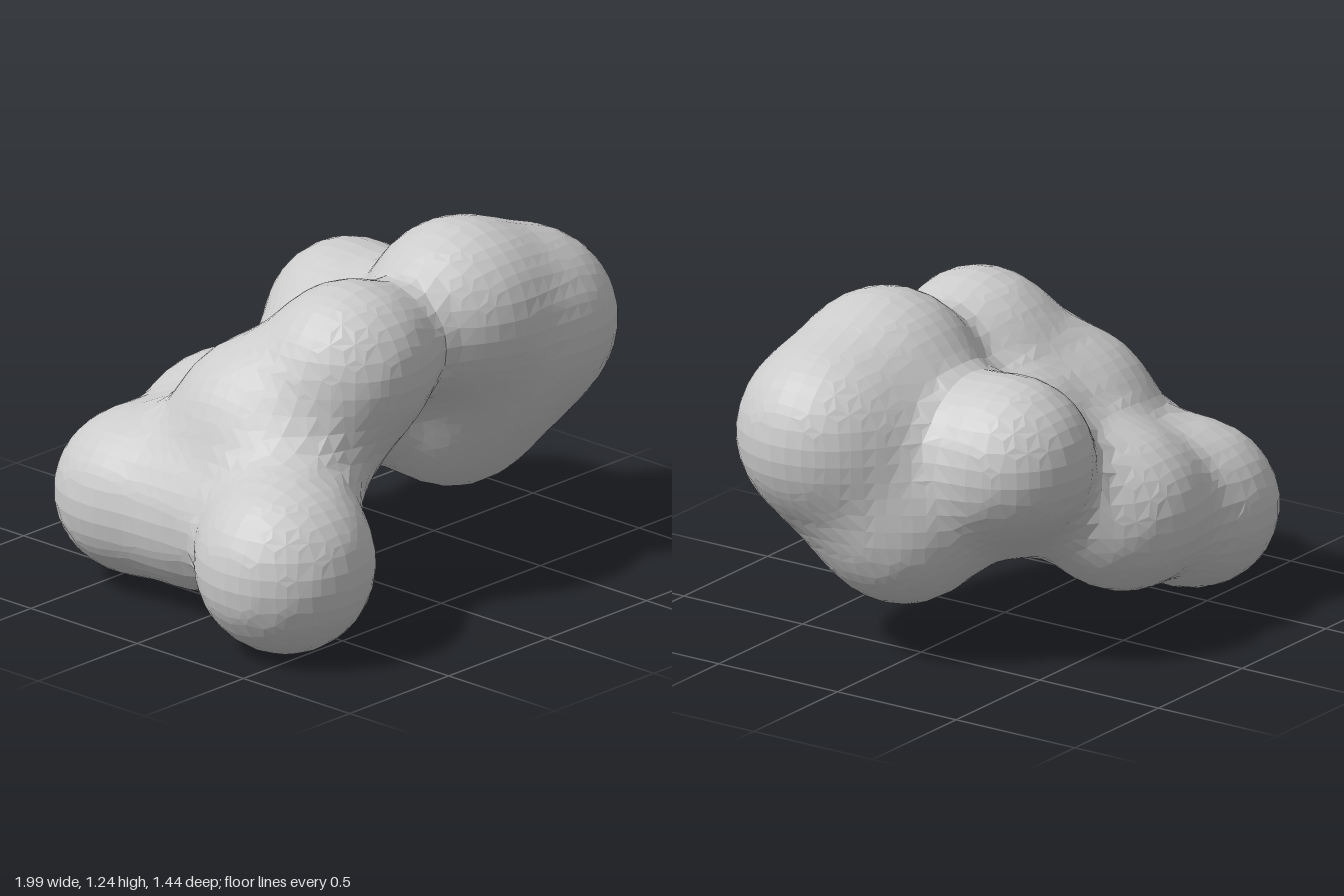
import * as THREE from 'three';

// Lobes of the melted shape: x, y, z, radius
const LOBES = [
  [-0.69, 0.31, 0.41, 0.31],   // low front ball
  [-0.18, 0.87, 0.24, 0.283],  // upper front shoulder
  [0.37, 0.93, 0.24, 0.305],   // crown
  [0.68, 0.81, 0.27, 0.31],    // side bulge
  [0.54, 0.64, 0.19, 0.25],    // fill under the side bulge
  [0.53, 0.48, 0.05, 0.285],   // lower side lobe
  [0.39, 0.74, -0.30, 0.278],  // upper back lobe
  [-0.12, 0.43, -0.41, 0.283], // middle back lobe
  [-0.54, 0.33, -0.43, 0.285], // back corner lobe
  [-0.52, 0.33, -0.10, 0.27],  // side base lobe
  [-0.37, 0.65, -0.03, 0.265], // bridge to the shoulder
  [-0.43, 0.5, 0.2, 0.2],      // neck of the low front ball
  [-0.26, 0.63, 0.12, 0.22],   // fill under the shoulder
  [0.18, 0.56, -0.15, 0.23],   // inner core
  [0.04, 0.68, -0.12, 0.18],   // fill above the core
];
const BLEND = 0.072;
const CELL = 0.06;

// Smooth union of all lobes: negative inside
function field(p) {
  let sum = 0;
  for (const [x, y, z, r] of LOBES) {
    sum += Math.exp((r - Math.hypot(p.x - x, p.y - y, p.z - z)) / BLEND);
  }
  return -BLEND * Math.log(sum);
}

function gradient(p) {
  const e = 0.002, g = new THREE.Vector3();
  for (const axis of ['x', 'y', 'z']) {
    const a = p.clone(), b = p.clone();
    a[axis] += e;
    b[axis] -= e;
    g[axis] = (field(a) - field(b)) / (2 * e);
  }
  return g;
}

// Wrap the field in a net of quads: one vertex per crossed cell
function skinGeometry() {
  const min = new THREE.Vector3(-1.15, -0.15, -0.88);
  const n = [2.3, 1.55, 1.76].map((s) => Math.ceil(s / CELL));
  const stride = [1, n[0] + 1, (n[0] + 1) * (n[1] + 1)];
  const id = (i, j, k) => i + j * stride[1] + k * stride[2];
  const point = (i, j, k) => new THREE.Vector3(i, j, k).multiplyScalar(CELL).add(min);

  const values = [];
  for (let k = 0; k <= n[2]; k++)
    for (let j = 0; j <= n[1]; j++)
      for (let i = 0; i <= n[0]; i++) values.push(field(point(i, j, k)));

  const positions = [], indices = [], vertexOf = new Map();
  for (let k = 0; k < n[2]; k++)
    for (let j = 0; j < n[1]; j++)
      for (let i = 0; i < n[0]; i++) {
        const c = id(i, j, k);
        const mid = new THREE.Vector3();
        let crossings = 0;
        for (let a = 0; a < 3; a++) {
          const b = (a + 1) % 3, d = (a + 2) % 3;
          for (let q = 0; q < 4; q++) {
            const o = [0, 0, 0];
            o[b] = q & 1;
            o[d] = q >> 1;
            const corner = c + o[b] * stride[b] + o[d] * stride[d];
            const v0 = values[corner], v1 = values[corner + stride[a]];
            if ((v0 < 0) === (v1 < 0)) continue;
            o[a] = v0 / (v0 - v1);
            mid.add(new THREE.Vector3(...o));
            crossings++;
          }
        }
        if (!crossings) continue;
        const p = mid.multiplyScalar(CELL / crossings).add(point(i, j, k));
        // Pull the vertex onto the surface
        const g = gradient(p);
        const step = -field(p) / Math.max(g.lengthSq(), 0.1);
        p.add(g.multiplyScalar(THREE.MathUtils.clamp(step, -0.02, 0.02)));
        vertexOf.set(c, positions.length / 3);
        positions.push(p.x, p.y, p.z);
      }

  // Join the four cells around every crossed grid edge
  for (let k = 1; k < n[2]; k++)
    for (let j = 1; j < n[1]; j++)
      for (let i = 1; i < n[0]; i++) {
        const c = id(i, j, k);
        for (let a = 0; a < 3; a++) {
          const inside = values[c] < 0;
          if (inside === values[c + stride[a]] < 0) continue;
          const sb = stride[(a + 1) % 3], sd = stride[(a + 2) % 3];
          const quad = [c, c - sb, c - sb - sd, c - sd].map((m) => vertexOf.get(m));
          if (!inside) quad.reverse();
          const [p, q, r, s] = quad;
          indices.push(p, q, r, p, r, s);
        }
      }

  const geometry = new THREE.BufferGeometry();
  geometry.setAttribute('position', new THREE.Float32BufferAttribute(positions, 3));
  geometry.setIndex(indices);
  geometry.computeVertexNormals();
  return geometry;
}

export function createModel() {
  const group = new THREE.Group();
  group.name = 'blob';
  const skin = new THREE.Mesh(
    skinGeometry(),
    new THREE.MeshStandardMaterial({ color: 0xcccccc, flatShading: true })
  );
  skin.name = 'blobSkin';
  // Rest the lowest lobe on the ground
  skin.geometry.computeBoundingBox();
  skin.position.y = -skin.geometry.boundingBox.min.y;
  group.add(skin);
  return group;
}
